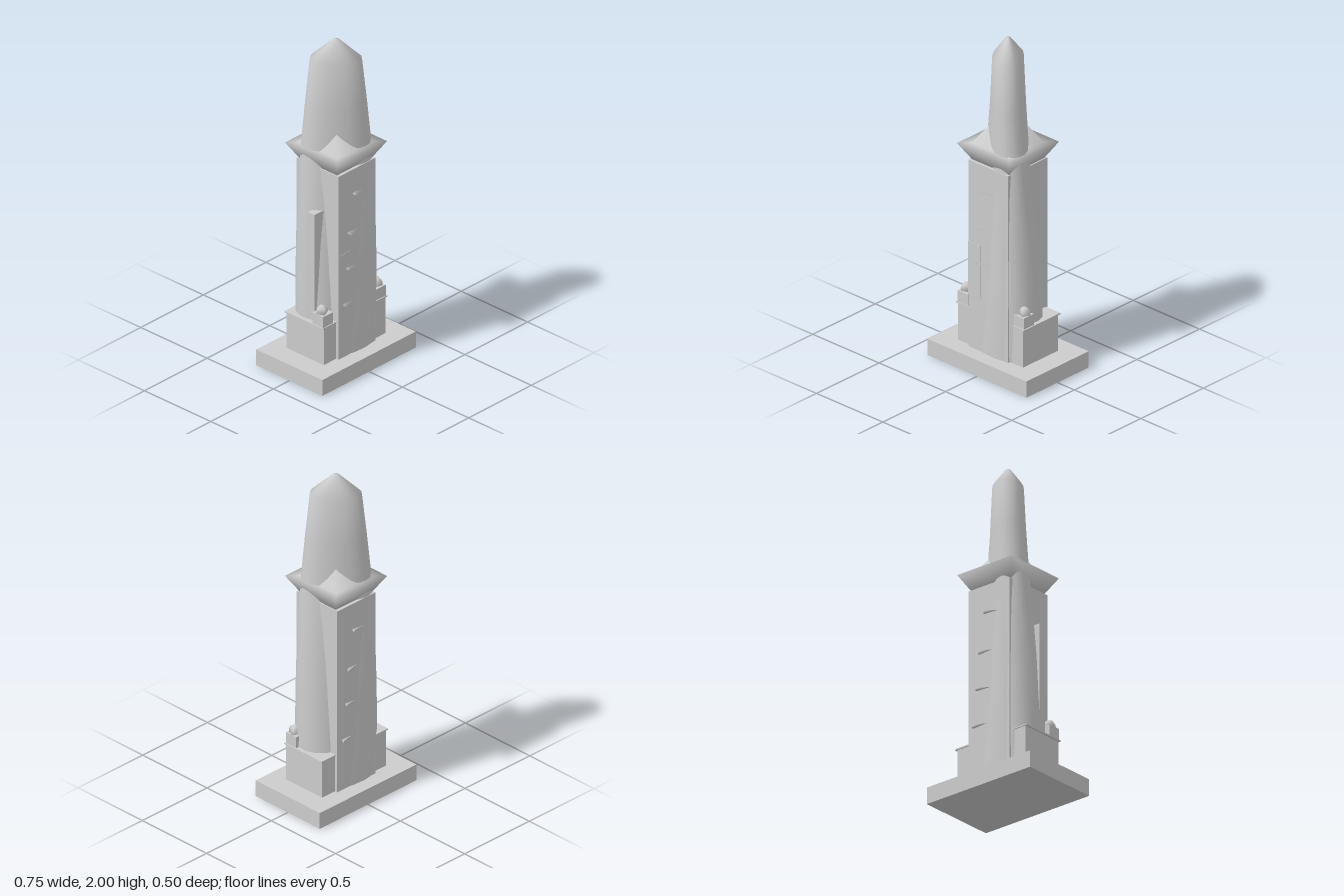
import * as THREE from 'three';

const stone = new THREE.MeshStandardMaterial({ color: 0xcccccc });
stone.name = 'paleStone';

export function createModel() {
  const group = new THREE.Group();
  const add = (name, geometry) => {
    const mesh = new THREE.Mesh(geometry, stone);
    mesh.name = name;
    group.add(mesh);
    return mesh;
  };
  // Box given by its min and max on each axis
  const box = (name, x0, x1, y0, y1, z0, z1) => {
    const mesh = add(name, new THREE.BoxGeometry(x1 - x0, y1 - y0, z1 - z0));
    mesh.position.set((x0 + x1) / 2, (y0 + y1) / 2, (z0 + z1) / 2);
    return mesh;
  };

  // Plinth and square core of the tower
  box('plinth', -0.373, 0.373, 0, 0.1, -0.249, 0.249);
  box('towerCore', -0.148, 0.148, 0.1, 1.25, -0.158, 0.158);

  // Twisting, tapering shaft with a pointed tip
  add('twistedShaft', shaftGeometry());

  // Flared square collar with a low pyramid roof
  const profile = [[0, 1.25], [0.14, 1.25], [0.198, 1.35], [0.14, 1.352], [0, 1.57]]
    .map(([r, y]) => new THREE.Vector2(r * Math.SQRT2, y));
  add('collar', new THREE.LatheGeometry(profile, 4, Math.PI / 4));

  // Side blocks, ledges, front posts and finials
  for (const s of [-1, 1]) {
    const side = (name, a, b, ...rest) => box(name, Math.min(s * a, s * b), Math.max(s * a, s * b), ...rest);
    side('sideBlock', 0.1, 0.246, 0.1, 0.328, -0.14, 0.14);
    side('sideLedge', 0.1, 0.257, 0.326, 0.334, -0.146, 0.144);
    side('frontPost', 0.17, 0.25, 0.33, 0.402, 0.058, 0.139);
    const finial = add('finial', new THREE.SphereGeometry(0.036, 4, 8));
    finial.position.set(s * 0.218, 0.415, 0.1);
    finial.rotation.y = s * 0.4;
  }

  // Upright rib on one flank and thin front panel
  box('flankRib', -0.226, -0.14, 0.33, 1.0, 0.0, 0.05);
  box('frontPanel', -0.149, -0.055, 0.42, 0.75, 0.152, 0.16);

  // Small tilted ledges up the front and back
  const ledges = [[-0.065, 0.43], [-0.04, 0.645], [-0.025, 0.865], [0.015, 1.095]];
  for (const s of [-1, 1]) {
    ledges.forEach(([x, y], i) => {
      const ledge = add('stepLedge', new THREE.ConeGeometry(0.03, 0.09, 3));
      ledge.scale.set(0.35, 1, 1);
      ledge.rotation.z = -s * (Math.PI / 2 + 0.1 * (i % 2));
      ledge.position.set(s * x, y - (s < 0 ? 0.015 : 0), s * 0.158);
    });
  }
  return group;
}

// Rings of a rounded oval that turns with height
function shaftGeometry() {
  const rings = [ // height, long half-axis, short half-axis
    [0.1, 0.24, 0.165], [0.35, 0.238, 0.158], [0.6, 0.232, 0.15], [0.8, 0.225, 0.143],
    [1.0, 0.216, 0.134], [1.18, 0.207, 0.122], [1.35, 0.195, 0.11], [1.6, 0.171, 0.099],
    [1.88, 0.143, 0.087], [1.995, 0.018, 0.014], [2.0, 0.0005, 0.0005]
  ];
  const sides = 20;
  const positions = [];
  const index = [];
  const soft = (v) => Math.sign(v) * Math.abs(v) ** 0.9;
  rings.forEach(([y, a, b], j) => {
    const turn = THREE.MathUtils.degToRad(6 + 23.5 * y);
    for (let i = 0; i < sides; i++) {
      const t = (i / sides) * Math.PI * 2;
      const u = a * soft(Math.cos(t));
      const v = b * soft(Math.sin(t));
      positions.push(u * Math.cos(turn) - v * Math.sin(turn), y, u * Math.sin(turn) + v * Math.cos(turn));
      if (j === rings.length - 1) continue;
      const p = j * sides + i;
      const q = j * sides + ((i + 1) % sides);
      index.push(p, p + sides, q, q, p + sides, q + sides);
    }
  });
  const geometry = new THREE.BufferGeometry();
  geometry.setAttribute('position', new THREE.Float32BufferAttribute(positions, 3));
  geometry.setIndex(index);
  geometry.computeVertexNormals();
  return geometry;
}
